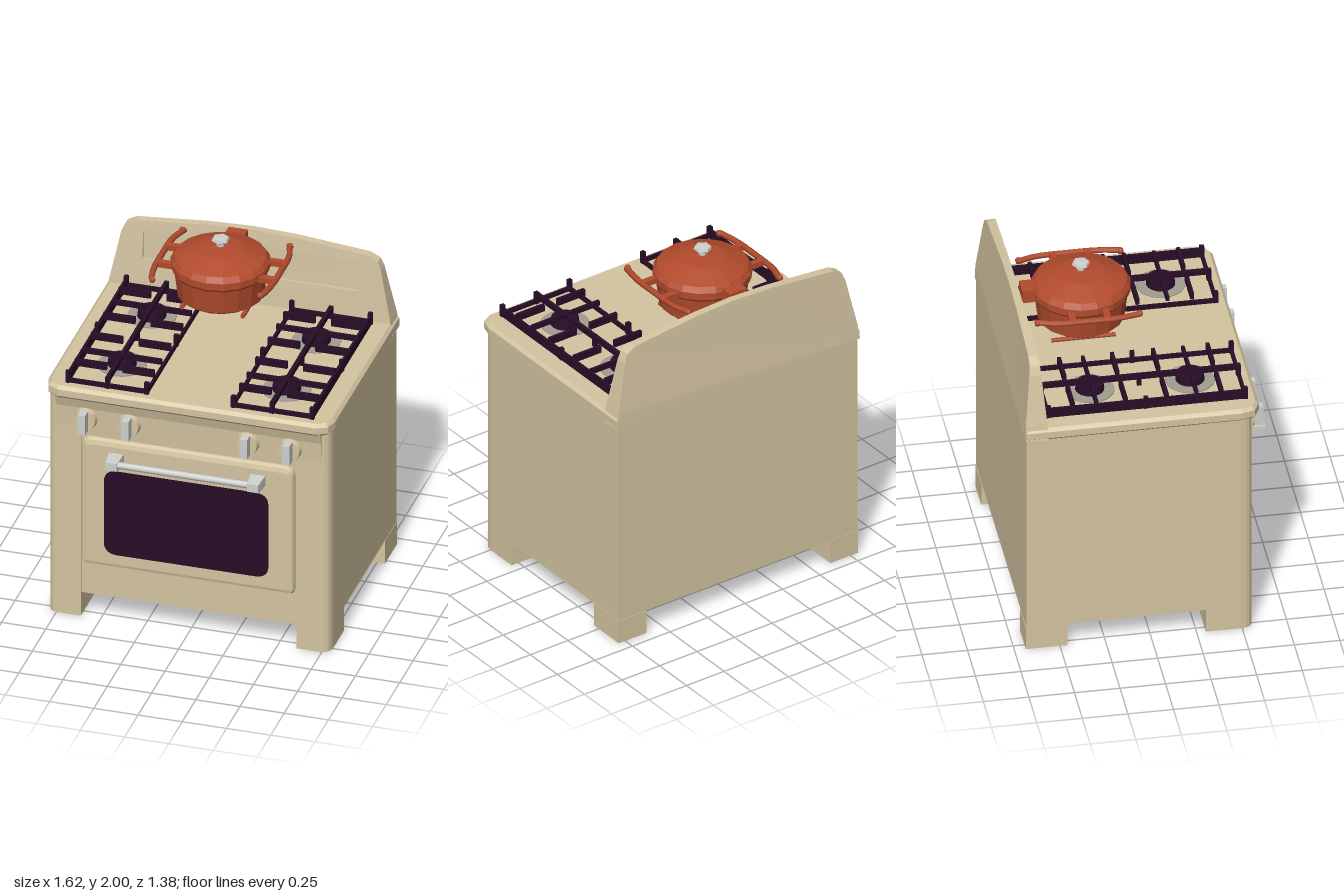
import * as THREE from 'three';

const mat = (name, color) => {
  const m = new THREE.MeshStandardMaterial({ color });
  m.name = name;
  return m;
};

// Rounded rectangle outline; separate radii for the lower and upper corners
function roundRect(x0, y0, x1, y1, rl, ru = rl, s = new THREE.Shape()) {
  s.moveTo(x0 + rl, y0);
  s.lineTo(x1 - rl, y0);
  s.quadraticCurveTo(x1, y0, x1, y0 + rl);
  s.lineTo(x1, y1 - ru);
  s.quadraticCurveTo(x1, y1, x1 - ru, y1);
  s.lineTo(x0 + ru, y1);
  s.quadraticCurveTo(x0, y1, x0, y1 - ru);
  s.lineTo(x0, y0 + rl);
  s.quadraticCurveTo(x0, y0, x0 + rl, y0);
  return s;
}

const polygon = pts => new THREE.Shape(pts.map(p => new THREE.Vector2(...p)));

export function createModel() {
  const group = new THREE.Group();
  const cream = mat('cream enamel', 0xd4c4a1);
  const dark = mat('dark iron', 0x270d27);
  const red = mat('red enamel', 0xb24b2d);
  const chrome = mat('chrome', 0xcdd0cc);
  const grey = mat('burner grey', 0xa29d90);

  const add = (name, geo, material, x = 0, y = 0, z = 0, parent = group) => {
    const m = new THREE.Mesh(geo, material);
    m.name = name;
    m.position.set(x, y, z);
    parent.add(m);
    return m;
  };
  // Box given by its limits
  const box = (name, material, x0, x1, y0, y1, z0, z1, parent = group) =>
    add(name, new THREE.BoxGeometry(x1 - x0, y1 - y0, z1 - z0), material,
      (x0 + x1) / 2, (y0 + y1) / 2, (z0 + z1) / 2, parent);
  // Extrude a plan outline (shape y = -z) upward from y0 to y1
  const upward = (shape, y0, y1, bevel = 0) => {
    const g = new THREE.ExtrudeGeometry(shape, {
      depth: y1 - y0 - 2 * bevel, bevelEnabled: bevel > 0, bevelSize: bevel,
      bevelThickness: bevel, bevelOffset: -bevel, bevelSegments: 1, curveSegments: 4,
    });
    return g.rotateX(-Math.PI / 2).translate(0, y0 + bevel, 0);
  };

  // Cabinet
  box('cabinet', cream, -0.795, 0.795, 0.14, 1.37, -0.685, 0.45);
  box('drawerFront', cream, -0.61, 0.61, 0.14, 0.35, 0.44, 0.545);
  box('doorFrame', cream, -0.61, 0.61, 0.35, 1.15, 0.44, 0.55);

  for (const s of [-1, 1]) {
    // Front post with a rounded outer corner, running down into the leg
    const p = new THREE.Shape();
    p.moveTo(s * 0.61, -0.3);
    p.lineTo(s * 0.61, -0.56);
    p.lineTo(s * 0.74, -0.56);
    p.quadraticCurveTo(s * 0.798, -0.56, s * 0.798, -0.49);
    p.lineTo(s * 0.798, -0.3);
    add('frontPost', upward(p, 0, 1.37), cream);
    add('frontFoot', new THREE.CylinderGeometry(0.06, 0.06, 0.006, 16), dark, s * 0.7, 0, 0.43);
    box('backLeg', cream, s * 0.705 - 0.092, s * 0.705 + 0.092, 0, 0.14, -0.688, -0.46);
  }

  // Control panel leaning outward at the top
  const panel = new THREE.ExtrudeGeometry(
    polygon([[0.4, 1.13], [0.557, 1.13], [0.568, 1.3], [0.59, 1.37], [0.4, 1.37]]),
    { depth: 1.5, bevelEnabled: false });
  add('controlPanel', panel.rotateY(-Math.PI / 2).translate(0.75, 0, 0), cream);

  // Cooktop with cut front corners
  const top = polygon([[-0.81, 0.685], [-0.81, -0.5], [-0.79, -0.57], [-0.73, -0.602],
    [0.73, -0.602], [0.79, -0.57], [0.81, -0.5], [0.81, 0.685]]);
  add('cooktop', upward(top, 1.355, 1.43, 0.018), cream);

  // Leaning backsplash with a raised rim around a shallow recess
  const splash = () => polygon([[-0.81, 1.36], [0.81, 1.36], [0.795, 1.45], [0.735, 1.74], [0.715, 1.79],
    [0.66, 1.82], [0.25, 1.86], [0, 1.87], [-0.25, 1.86], [-0.66, 1.82], [-0.715, 1.79],
    [-0.735, 1.74], [-0.795, 1.45]]);
  const lean = (shape, d0, d1) => {
    const g = new THREE.ExtrudeGeometry(shape, { depth: d1 - d0, bevelEnabled: false });
    const p = g.attributes.position;
    for (let i = 0; i < p.count; i++) {
      const t = Math.max(0, (p.getY(i) - 1.43) / 0.44);
      const back = -0.69 + 0.045 * t, front = -0.567 - 0.036 * t;
      p.setZ(i, THREE.MathUtils.lerp(back, front, p.getZ(i) + d0));
    }
    g.computeVertexNormals();
    return g;
  };
  add('backsplash', lean(splash(), 0, 0.82), cream);
  const rim = splash();
  rim.holes.push(roundRect(-0.61, 1.6, 0.61, 1.78, 0.02, 0.04, new THREE.Path()));
  add('backsplashRim', lean(rim, 0.82, 1), cream);

  // Oven door, window and handle
  const door = new THREE.ExtrudeGeometry(roundRect(-0.6, 0.34, 0.6, 1.13, 0.03, 0.06), {
    depth: 0.015, bevelSize: 0.035, bevelOffset: -0.035, bevelThickness: 0.025, bevelSegments: 2, curveSegments: 4,
  });
  add('ovenDoor', door, cream, 0, 0, 0.55);
  add('ovenWindow', new THREE.ExtrudeGeometry(roundRect(-0.47, 0.43, 0.46, 0.95, 0.075),
    { depth: 0.005, bevelEnabled: false, curveSegments: 6 }), dark, 0, 0, 0.589);
  add('doorHandleBar', new THREE.CylinderGeometry(0.02, 0.02, 0.84, 8).rotateZ(Math.PI / 2), chrome, 0, 1.035, 0.665);
  for (const s of [-1, 1]) {
    const bracket = new THREE.CylinderGeometry(0.045, 0.06, 0.105, 4, 1).rotateY(Math.PI / 4)
      .rotateX(Math.PI / 2).scale(1, 0.75, 1).toNonIndexed();
    bracket.computeVertexNormals();
    add('doorHandleBracket', bracket, chrome, s * 0.4, 1.03, 0.637);
  }

  // Control knobs
  for (const x of [-0.58, -0.335, 0.335, 0.575]) {
    add('knobBase', new THREE.CylinderGeometry(0.06, 0.067, 0.035, 16).rotateX(Math.PI / 2), cream, x, 1.24, 0.578);
    box('knobGrip', chrome, x - 0.021, x + 0.021, 1.18, 1.3, 0.59, 0.65);
  }

  // Burners and grates, one set on each side
  for (const s of [-1, 1]) {
    const grate = new THREE.Group();
    grate.name = s > 0 ? 'leftGrate' : 'rightGrate';
    group.add(grate);
    const bar = (xa, xb, y0, y1, z0, z1) =>
      box('grateBar', dark, Math.min(s * xa, s * xb), Math.max(s * xa, s * xb), y0, y1, z0, z1, grate);
    for (const z of [-0.28, 0.27]) {
      add('burnerPlate', new THREE.CylinderGeometry(0.135, 0.135, 0.006, 24), grey, s * 0.465, 1.433, z);
      add('burnerCap', new THREE.CylinderGeometry(0.075, 0.08, 0.04, 16), dark, s * 0.465, 1.456, z);
      bar(0.24, 0.69, 1.47, 1.5, z - 0.009, z + 0.009);
    }
    bar(0.682, 0.698, 1.43, 1.485, -0.55, 0.54);
    bar(0.236, 0.25, 1.43, 1.455, -0.55, 0.54);
    bar(0.454, 0.476, 1.47, 1.5, -0.55, 0.54);
    for (const z of [-0.545, 0.535]) bar(0.236, 0.698, 1.432, 1.455, z - 0.009, z + 0.009);
    for (const z of [-0.41, -0.12, 0.105, 0.405]) {
      bar(0.51, 0.69, 1.465, 1.505, z - 0.01, z + 0.01);
      bar(0.24, 0.42, 1.465, 1.505, z - 0.01, z + 0.01);
    }
    for (const z of [-0.545, -0.01, 0.535])
      for (const x of [0.245, 0.465, 0.69]) bar(x - 0.012, x + 0.012, 1.43, 1.5, z - 0.012, z + 0.012);
  }

  // Cooking pot
  const pot = new THREE.Group();
  pot.name = 'pot';
  pot.position.set(-0.07, 0, -0.26);
  group.add(pot);
  const lathe = (name, pts, n, material) => {
    const g = new THREE.LatheGeometry(pts.map(p => new THREE.Vector2(...p)), n).toNonIndexed();
    g.computeVertexNormals();
    return add(name, g, material, 0, 0, 0, pot);
  };
  lathe('potBody', [[0, 1.64], [0.21, 1.64], [0.237, 1.66], [0.255, 1.8], [0.265, 1.815], [0.265, 1.84], [0, 1.84]], 18, red);
  lathe('potLid', [[0, 1.835], [0.272, 1.835], [0.272, 1.86], [0.25, 1.89], [0.13, 1.935], [0, 1.95]], 18, red);
  lathe('lidKnob', [[0.022, 1.935], [0.022, 1.965], [0.05, 1.982], [0.045, 1.997], [0, 2]], 6, chrome);
  box('potBackHandle', red, -0.055, 0.055, 1.8, 1.875, -0.33, -0.25, pot);
  for (const s of [-1, 1]) {
    const curve = new THREE.CatmullRomCurve3([[0.295, -0.3], [0.328, -0.2], [0.335, 0], [0.332, 0.15], [0.31, 0.275]]
      .map(([x, z]) => new THREE.Vector3(s * x, 1.833, z)));
    add('potHandle', new THREE.TubeGeometry(curve, 12, 0.017, 6), red, 0, 0, 0, pot);
    for (const z of [-0.29, 0.27])
      add('potHandleEnd', new THREE.SphereGeometry(0.02, 6, 4), red, s * 0.305, 1.833, z, pot);
    for (const z of [-0.1, 0.09])
      box('potHandleArm', red, s * 0.285 - 0.05, s * 0.285 + 0.05, 1.817, 1.849, z - 0.018, z + 0.018, pot);
    // Slim rails under the pot
    add('potRail', new THREE.CylinderGeometry(0.013, 0.013, 0.35, 6).rotateX(Math.PI / 2), red, s * 0.172, 1.62, -0.015, pot);
  }

  return group;
}
